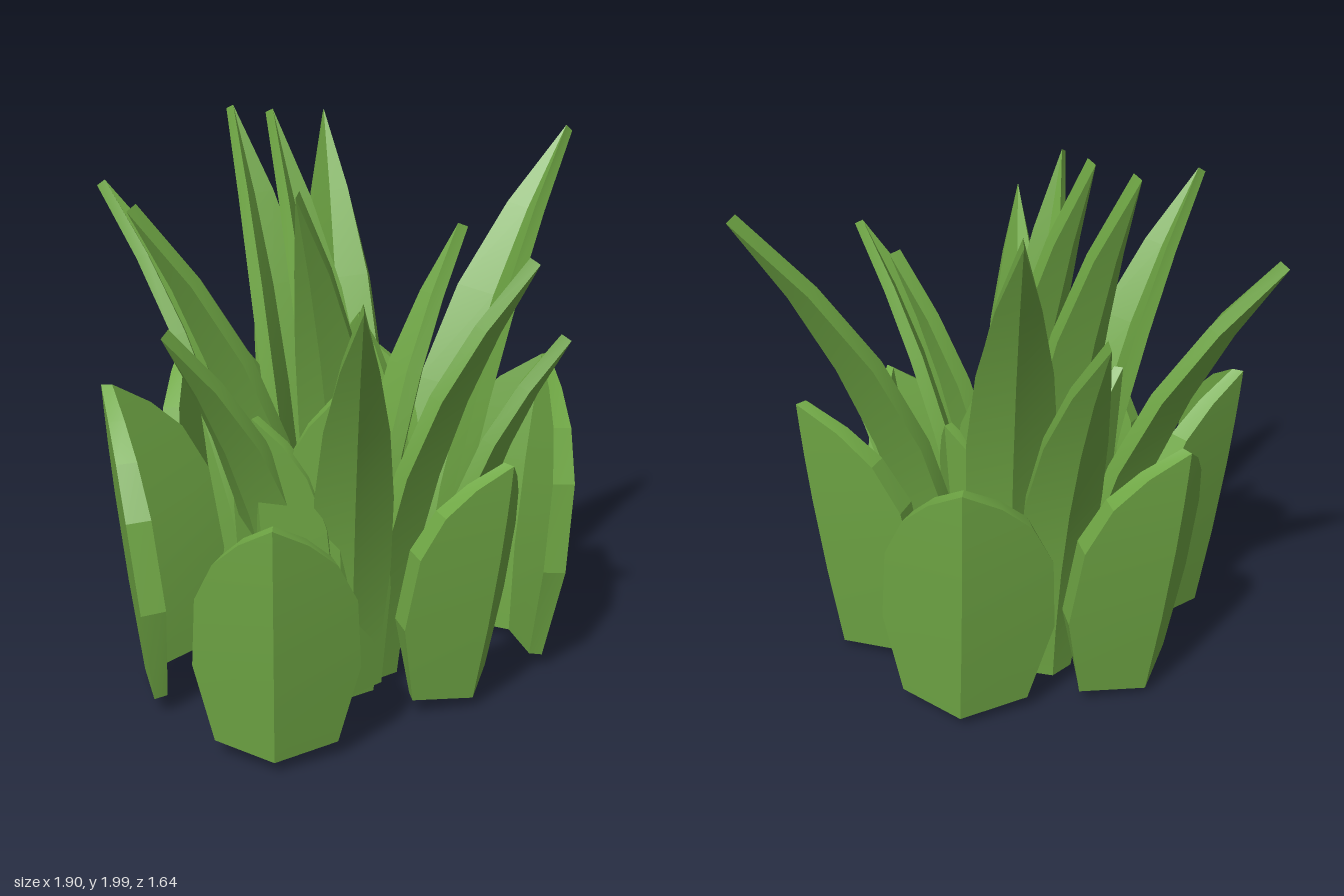
import * as THREE from 'three';
import { toCreasedNormals } from 'three/addons/utils/BufferGeometryUtils.js';

// [position along the leaf, share of the half width, share of the thickness]
const BLADE = [[0, 0.6, 0.9], [0.13, 0.8, 1], [0.3, 1, 1.1], [0.48, 1, 1.1],
  [0.66, 0.81, 1.1], [0.83, 0.46, 1], [1, 0, 0.9]];
const BROAD = [[0, 0.74, 0.5], [0.3, 1, 1], [0.6, 0.95, 1], [0.78, 0.72, 0.85],
  [0.9, 0.4, 0.7], [1, 0, 0.55]];

// Thick leaf folded along its middle, with the ridge on the outside.
// The ridge runs from base to tip; (dx, dz) is the way the leaf faces.
function leafGeometry(base, tip, [dx, dz], halfWidth, profile, bend, fold, thick) {
  const a = new THREE.Vector3(...base);
  const b = new THREE.Vector3(...tip);
  const control = a.clone().lerp(b, bend);
  control.y = a.y + (b.y - a.y) * 0.55;
  const ridge = new THREE.QuadraticBezierCurve3(a, control, b);
  const side = new THREE.Vector3(dz, 0, -dx).normalize();
  const pos = [];
  const index = [];
  for (const [t, widthShare, thickShare] of profile) {
    const p = ridge.getPoint(t);
    const out = side.clone().cross(ridge.getTangent(t)).normalize();
    const w = halfWidth * widthShare;
    const h = thick * thickShare;
    // outer left, ridge, outer right, inner right, valley, inner left
    const ring = [[-w, -w * fold], [0, 0], [w, -w * fold],
      [w * 0.88, -w * fold - h], [0, -h], [-w * 0.88, -w * fold - h]];
    for (const [u, v] of ring) {
      const q = p.clone().addScaledVector(side, u).addScaledVector(out, v);
      pos.push(q.x, Math.max(q.y, 0), q.z);
    }
  }
  for (let i = 0; i < profile.length - 1; i++) {
    for (let j = 0; j < 6; j++) {
      const k = (j + 1) % 6;
      const p = i * 6 + j, q = i * 6 + k;
      index.push(p, q, q + 6, p, q + 6, p + 6);
    }
  }
  index.push(0, 5, 4, 0, 4, 1, 1, 4, 3, 1, 3, 2); // cut base
  const geometry = new THREE.BufferGeometry();
  geometry.setAttribute('position', new THREE.Float32BufferAttribute(pos, 3));
  geometry.setIndex(index);
  return toCreasedNormals(geometry, 0.3);
}

export function createModel() {
  const model = new THREE.Group();
  model.name = 'spikyPlant';
  const green = new THREE.MeshStandardMaterial({ color: 0x70a845 });
  green.name = 'leafGreen';

  function addLeaves(name, leaves, profile, bend, fold, thick) {
    const group = new THREE.Group();
    group.name = name + 's';
    for (const [base, tip, dir, halfWidth] of leaves) {
      const mesh = new THREE.Mesh(
        leafGeometry(base, tip, dir, halfWidth, profile, bend, fold, thick), green);
      mesh.name = name;
      group.add(mesh);
    }
    model.add(group);
  }

  // Short broad leaves standing around the outside
  addLeaves('outerLeaf', [
    [[-0.03, 0.04, 0.69], [-0.01, 0.91, 0.82], [0, 1], 0.26],
    [[-0.81, 0.04, 0.53], [-0.87, 0.86, 0.6], [-0.72, 0.7], 0.27],
    [[0.53, 0.03, 0.43], [0.66, 1.1, 0.44], [1, 0.04], 0.33],
    [[0.5, 0.04, -0.25], [0.55, 1.03, -0.35], [0.73, -0.68], 0.31],
    [[-0.14, 0.03, -0.55], [-0.14, 1.09, -0.71], [0, -1], 0.3],
    [[-0.7, 0.04, -0.28], [-0.75, 1.09, -0.4], [-0.5, -0.86], 0.33],
  ], BROAD, 0.75, 0.56, 0.075);

  // Broad leaves of the middle ring
  addLeaves('middleLeaf', [
    [[-0.37, 0.06, 0.41], [-0.44, 1.14, 0.43], [-0.5, 0.86], 0.2],
    [[-0.5, 0.05, 0.2], [-0.61, 1.07, 0.22], [-1, 0.15], 0.21],
    [[-0.25, 0.03, -0.15], [-0.3, 1.18, -0.22], [-0.6, -0.8], 0.2],
    [[0.12, 0.03, -0.06], [0.18, 1.25, -0.07], [0.8, -0.6], 0.2],
    [[0.17, 0.03, 0.14], [0.25, 1.0, 0.12], [1, 0], 0.18],
  ], BROAD, 0.65, 0.5, 0.06);

  // Tall pointed blades arching out of the middle
  addLeaves('blade', [
    [[-0.1, 0.02, -0.08], [-0.1, 1.98, -0.47], [0, -1], 0.15],
    [[-0.1, 0.02, 0.12], [-0.1, 1.98, -0.26], [0, -1], 0.13],
    [[0.1, 0.02, -0.06], [0.47, 1.92, -0.56], [0.6, -0.8], 0.16],
    [[0.06, 0.02, -0.26], [0.28, 1.6, -0.74], [0.42, -0.9], 0.14],
    [[-0.2, 0.02, -0.24], [-0.43, 1.7, -0.82], [-0.4, -0.92], 0.16],
    [[0.25, 0, 0.22], [0.95, 1.88, 0.29], [1, 0.1], 0.175],
    [[-0.3, 0.02, 0.02], [-0.88, 1.74, -0.04], [-1, -0.1], 0.15],
    [[-0.14, 0.02, 0.16], [-0.55, 1.79, 0.37], [-0.89, 0.46], 0.13],
    [[-0.42, 0.03, 0.16], [-0.95, 1.39, 0.2], [-1, 0.1], 0.13],
    [[-0.31, 0.03, 0.38], [-0.68, 1.52, 0.79], [-0.66, 0.75], 0.13],
    [[-0.06, 0.03, 0.36], [0.13, 1.55, 0.79], [0.38, 0.92], 0.14],
    [[0.18, 0.03, 0.4], [0.37, 1.25, 0.75], [0.48, 0.88], 0.11],
    [[0, 0.02, 0.2], [0.3, 1.6, 0.34], [0.9, 0.43], 0.12],
  ], BLADE, 0.16, 0.5, 0.045);

  return model;
}
